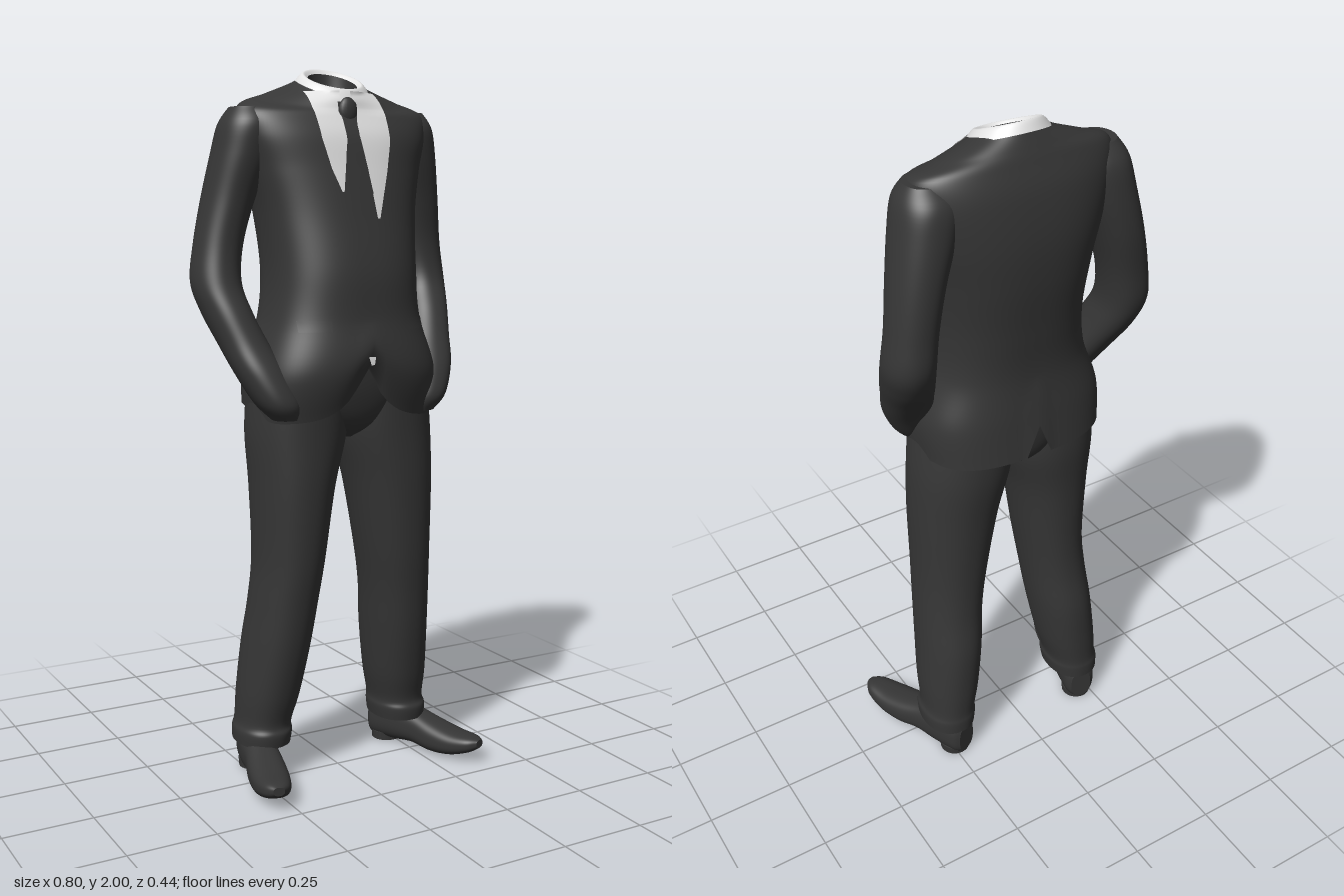
import * as THREE from 'three';

const SEG = 96;

// Smooth interpolation of key rows [y, cx, cz, rx, rz, power, tilt] at t = 0..1
function rowAt(keys, t) {
  const n = keys.length - 1;
  const i = Math.min(Math.floor(t * n), n - 1), f = t * n - i;
  const k = (j) => keys[THREE.MathUtils.clamp(j, 0, n)];
  const [a, b, c, d] = [k(i - 1), k(i), k(i + 1), k(i + 2)];
  return b.map((_, m) => {
    const p = b[m], q = c[m], v0 = (q - a[m]) / 2, v1 = (d[m] - p) / 2;
    return (2 * p - 2 * q + v0 + v1) * f ** 3 + (3 * q - 3 * p - 2 * v0 - v1) * f ** 2 + v0 * f + p;
  });
}

// Surface through superellipse rings; caps are hard-edged, warp may move points
function loft(keys, { power = 2.2, tilt = 0, steps = 6, caps = false, warp = null } = {}) {
  const full = keys.map((r) => [...r, ...[power, tilt].slice(r.length - 5)]);
  const rows = [], count = (keys.length - 1) * steps;
  for (let i = 0; i <= count; i++) rows.push(rowAt(full, i / count));
  if (caps) {
    const flat = (r) => r.map((v, m) => (m === 3 || m === 4 ? 0 : v));
    const a = rows[0], b = rows[rows.length - 1];
    rows.unshift(flat(a), a);
    rows.push(b, flat(b));
  }
  const pos = [], index = [];
  rows.forEach(([y, cx, cz, rx, rz, p, tl], i) => {
    for (let j = 0; j < SEG; j++) {
      const t = (j / SEG) * Math.PI * 2, c = Math.cos(t), s = Math.sin(t);
      const x = Math.sign(c) * Math.abs(c) ** (2 / p) * rx;
      const z = Math.sign(s) * Math.abs(s) ** (2 / p) * rz;
      const v = new THREE.Vector3(cx + x, y + tl * z, cz + z);
      if (warp) warp(v, s);
      pos.push(v.x, v.y, v.z);
      if (i < rows.length - 1) {
        const a = i * SEG + j, b = i * SEG + ((j + 1) % SEG);
        index.push(a, a + SEG, b, a + SEG, b + SEG, b);
      }
    }
  });
  const g = new THREE.BufferGeometry();
  g.setAttribute('position', new THREE.Float32BufferAttribute(pos, 3));
  g.setIndex(index);
  g.computeVertexNormals();
  return g;
}

const JACKET = [
  [1.06, 0.005, -0.022, 0.265, 0.187, 2.8, 0],
  [1.18, 0.005, -0.002, 0.268, 0.195, 2.8, 0],
  [1.32, 0.005, -0.005, 0.225, 0.18, 2.6, 0],
  [1.45, 0.01, -0.015, 0.215, 0.18, 2.5, 0],
  [1.6, 0.012, -0.04, 0.228, 0.172, 2.5, 0],
  [1.72, 0.012, -0.055, 0.255, 0.16, 2.5, 0],
  [1.82, 0.012, -0.058, 0.28, 0.142, 2.5, -0.1],
  [1.885, 0.012, -0.058, 0.278, 0.117, 2.3, -0.2],
  [1.912, 0.012, -0.055, 0.205, 0.105, 2.1, -0.3],
  [1.94, 0.012, -0.05, 0.122, 0.095, 2, -0.36],
  [1.955, 0.012, -0.05, 0.092, 0.088, 2, -0.4],
];

// Front surface depth of the jacket at x, y
function chestZ(x, y) {
  let lo = 0, hi = 1, z = 0;
  for (let i = 0; i < 30; i++) {
    const t = (lo + hi) / 2, [ry, cx, cz, rx, rz, p, tl] = rowAt(JACKET, t);
    const dz = rz * Math.max(0, 1 - Math.min(1, Math.abs((x - cx) / rx)) ** p) ** (1 / p);
    z = cz + dz;
    if (ry + tl * dz < y) lo = t; else hi = t;
  }
  return z;
}

// Thin cloth lying on the chest; rows are [y, x0, x1] from top to bottom
function patch(rows, lift) {
  const nx = 10, ny = (rows.length - 1) * 8, pos = [], index = [];
  for (let i = 0; i <= ny; i++) {
    const k = Math.min(Math.floor(i / 8), rows.length - 2), f = i / 8 - k;
    const [y, x0, x1] = rows[k].map((v, m) => THREE.MathUtils.lerp(v, rows[k + 1][m], f));
    for (let j = 0; j <= nx; j++) {
      const x = THREE.MathUtils.lerp(x0, x1, j / nx);
      pos.push(x, y, chestZ(x, y) + lift);
      if (i < ny && j < nx) {
        const a = i * (nx + 1) + j, b = a + nx + 1;
        index.push(a, b, a + 1, b, b + 1, a + 1);
      }
    }
  }
  const g = new THREE.BufferGeometry();
  g.setAttribute('position', new THREE.Float32BufferAttribute(pos, 3));
  g.setIndex(index);
  g.computeVertexNormals();
  return g;
}

// Rounded front quarters, centre notch and back vent at the jacket hem
function hem(v, s) {
  if (v.y > 1.32) return;
  const x = Math.abs(v.x);
  const front = 1.04 + 0.16 * Math.exp(-x / 0.06);
  const back = 1.08 + 0.11 * Math.max(0, 1 - x / 0.032);
  const low = THREE.MathUtils.lerp(back, front, THREE.MathUtils.smoothstep(s, -0.3, 0.5));
  v.y = low + ((v.y - 1.06) / 0.26) * (1.32 - low);
}

export function createModel() {
  const model = new THREE.Group();
  const suit = new THREE.MeshStandardMaterial({ color: 0x363636, side: THREE.DoubleSide });
  suit.name = 'charcoal cloth';
  const white = new THREE.MeshStandardMaterial({ color: 0xe2e2e2, side: THREE.DoubleSide });
  white.name = 'white shirt';
  const add = (name, geometry, material = suit, parent = model) => {
    const mesh = new THREE.Mesh(geometry, material);
    mesh.name = name;
    parent.add(mesh);
    return mesh;
  };

  // Jacket body, pocket flaps and tie
  add('jacket', loft(JACKET, { warp: hem, steps: 8 }));
  for (const s of [-1, 1]) {
    const [a, b] = s > 0 ? [0.12, 0.2] : [-0.19, -0.11];
    add('pocketFlap', patch([[1.32, a, b], [1.29, a, b]], 0.004));
  }
  add('tie', patch([[1.9, -0.028, 0.028], [1.87, -0.028, 0.026], [1.83, -0.015, 0.015],
    [1.76, -0.03, 0.026], [1.66, -0.044, 0.04], [1.6, -0.03, 0.03]], 0.007));
  const knot = add('tieKnot', new THREE.SphereGeometry(1, 20, 14));
  knot.scale.set(0.028, 0.038, 0.016);
  knot.position.set(0, 1.875, chestZ(0, 1.875) + 0.004);

  // Shirt front, collar and dark neck opening
  add('shirtRight', patch([[1.93, -0.1, -0.015], [1.88, -0.1, -0.022], [1.8, -0.094, -0.02],
    [1.72, -0.075, -0.035], [1.66, -0.052, -0.046]], 0.004), white);
  add('shirtLeft', patch([[1.93, 0.015, 0.115], [1.88, 0.02, 0.12], [1.8, 0.02, 0.117],
    [1.72, 0.034, 0.097], [1.65, 0.041, 0.075], [1.59, 0.048, 0.056]], 0.004), white);
  add('shirtHem', patch([[1.222, -0.012, 0.01], [1.2, -0.005, 0.005]], 0.004), white);
  const ring = (y, rx, rz) => [y, 0.012, -0.052, rx, rz];
  add('collar', loft([ring(1.938, 0.11, 0.102), ring(1.962, 0.091, 0.089), ring(1.969, 0.079, 0.081),
    ring(1.96, 0.067, 0.071)], { power: 2, tilt: -0.4 }), white);
  add('neckOpening', loft([ring(1.96, 0.067, 0.071), ring(1.92, 0.065, 0.068), ring(1.88, 0.06, 0.06)],
    { power: 2, tilt: -0.4, caps: false }));
  add('neckLining', loft([ring(1.9, 0.07, 0.07), ring(1.905, 0.068, 0.068)], { tilt: -0.4, caps: true, steps: 1 }));

  // Sleeves bent at the elbow, hands tucked at the pockets
  const arm = [
    [1.055, 0.215, 0.095, 0.035, 0.04], [1.1, 0.232, 0.082, 0.06, 0.07],
    [1.18, 0.264, 0.045, 0.068, 0.078], [1.26, 0.294, -0.01, 0.065, 0.08],
    [1.34, 0.32, -0.065, 0.065, 0.085], [1.42, 0.335, -0.105, 0.066, 0.08],
    [1.52, 0.325, -0.11, 0.065, 0.076], [1.64, 0.303, -0.1, 0.07, 0.084],
    [1.76, 0.272, -0.085, 0.08, 0.092], [1.84, 0.254, -0.075, 0.08, 0.088],
    [1.885, 0.252, -0.07, 0.055, 0.055],
  ];
  add('leftSleeve', loft(arm, { caps: true }));
  add('rightSleeve', loft(arm.map(([y, x, z, rx, rz]) => [
    y,
    -(x - 0.018 * THREE.MathUtils.smoothstep(y, 1.42, 1.75)),
    z + 0.025 * Math.exp(-(((y - 1.42) / 0.15) ** 2)), rx, rz,
  ]), { caps: true }));

  // Trousers: seat and two legs with a slight break at the cuff
  add('trouserSeat', loft([[0.985, 0.008, -0.015, 0.02, 0.07], [1.03, 0.008, -0.018, 0.13, 0.13],
    [1.12, 0.008, -0.012, 0.245, 0.155], [1.23, 0.008, -0.005, 0.22, 0.16]], { caps: true }));
  const leg = (xs) => [
    [0.1, -0.07, 0.1], [0.135, -0.068, 0.102], [0.165, -0.07, 0.097], [0.25, -0.06, 0.108],
    [0.39, -0.045, 0.12], [0.52, -0.027, 0.12], [0.65, -0.016, 0.126], [0.85, -0.012, 0.138],
    [1.0, -0.015, 0.148], [1.12, -0.01, 0.15],
  ].map(([y, z, rz], i) => [y, xs[i][0], z, xs[i][1], rz]);
  add('leftTrouserLeg', loft(leg([[0.24, 0.077], [0.238, 0.08], [0.235, 0.076], [0.226, 0.085], [0.213, 0.09],
    [0.202, 0.094], [0.188, 0.103], [0.168, 0.123], [0.146, 0.14], [0.135, 0.135]]), { caps: true }));
  add('rightTrouserLeg', loft(leg([[-0.216, 0.077], [-0.214, 0.08], [-0.21, 0.076], [-0.198, 0.085], [-0.18, 0.09],
    [-0.165, 0.091], [-0.152, 0.095], [-0.142, 0.113], [-0.128, 0.137], [-0.125, 0.135]]), { caps: true }));

  // Pointed shoes, turned outwards, toes lifted
  const shoe = loft([
    [-0.035, 0, -0.06, 0.032, 0.05], [-0.012, 0, -0.068, 0.048, 0.064], [0.06, 0, -0.072, 0.053, 0.066],
    [0.13, 0, -0.064, 0.05, 0.052], [0.2, 0, -0.05, 0.055, 0.046], [0.27, 0, -0.046, 0.052, 0.036],
    [0.33, 0, -0.054, 0.038, 0.024], [0.358, 0, -0.06, 0.016, 0.012],
  ], { power: 2.5, caps: true });
  shoe.rotateX(Math.PI / 2);
  for (const [name, x, turn] of [['leftShoe', 0.235, 0.37], ['rightShoe', -0.213, -0.25]]) {
    const foot = new THREE.Group();
    foot.name = name;
    foot.position.set(x, 0, -0.13);
    foot.rotation.y = turn;
    add('shoeUpper', shoe, suit, foot);
    const heel = add('shoeHeel', new THREE.CylinderGeometry(0.046, 0.044, 0.024, 32), suit, foot);
    heel.position.set(0, 0.012, 0.012);
    model.add(foot);
  }
  return model;
}
